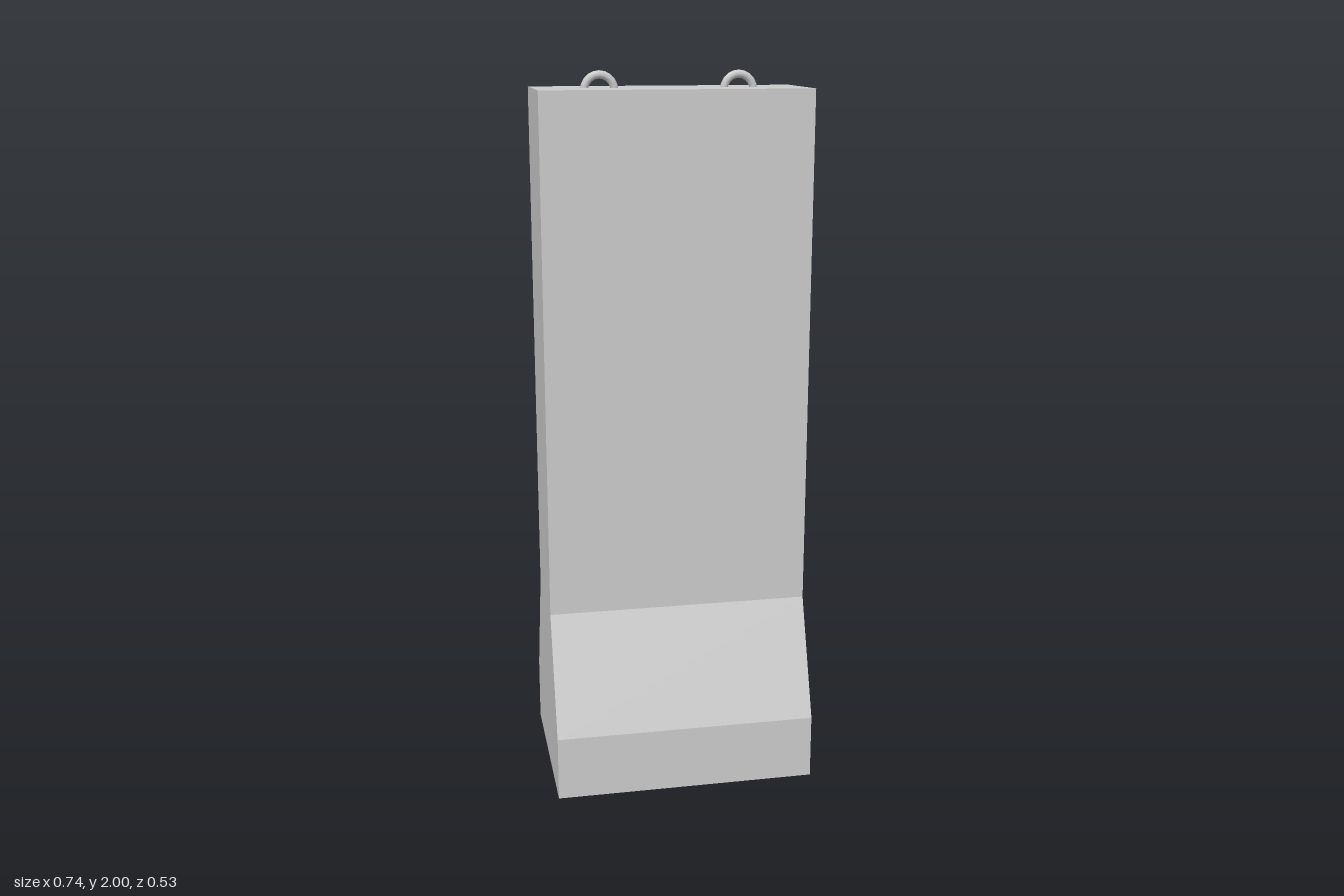
import * as THREE from 'three';

export function createModel() {
  const model = new THREE.Group();
  const material = new THREE.MeshStandardMaterial({ color: 0xcccccc });
  const width = 0.738, top = 1.954;

  // Concrete wall with flared foot: half profile (z, y), mirrored
  const half = [[0.264, 0], [0.264, 0.183], [0.14, 0.51], [0.14, top]];
  const mirrored = half.map(([z, y]) => [-z, y]).reverse();
  const profile = new THREE.Shape([...half, ...mirrored].map(([z, y]) => new THREE.Vector2(z, y)));
  const wallGeometry = new THREE.ExtrudeGeometry(profile, { depth: width, bevelEnabled: false });
  wallGeometry.translate(0, 0, -width / 2).rotateY(Math.PI / 2);
  const wall = new THREE.Mesh(wallGeometry, material);
  wall.name = 'barrierWall';
  model.add(wall);

  // Lifting loops: half rings with their ends sunk into the top
  const loopGeometry = new THREE.TorusGeometry(0.041, 0.011, 8, 10, Math.PI);
  for (const [name, x] of [['leftLiftingLoop', 0.191], ['rightLiftingLoop', -0.191]]) {
    const loop = new THREE.Mesh(loopGeometry, material);
    loop.name = name;
    loop.position.set(x, 1.948, 0);
    model.add(loop);
  }
  return model;
}
